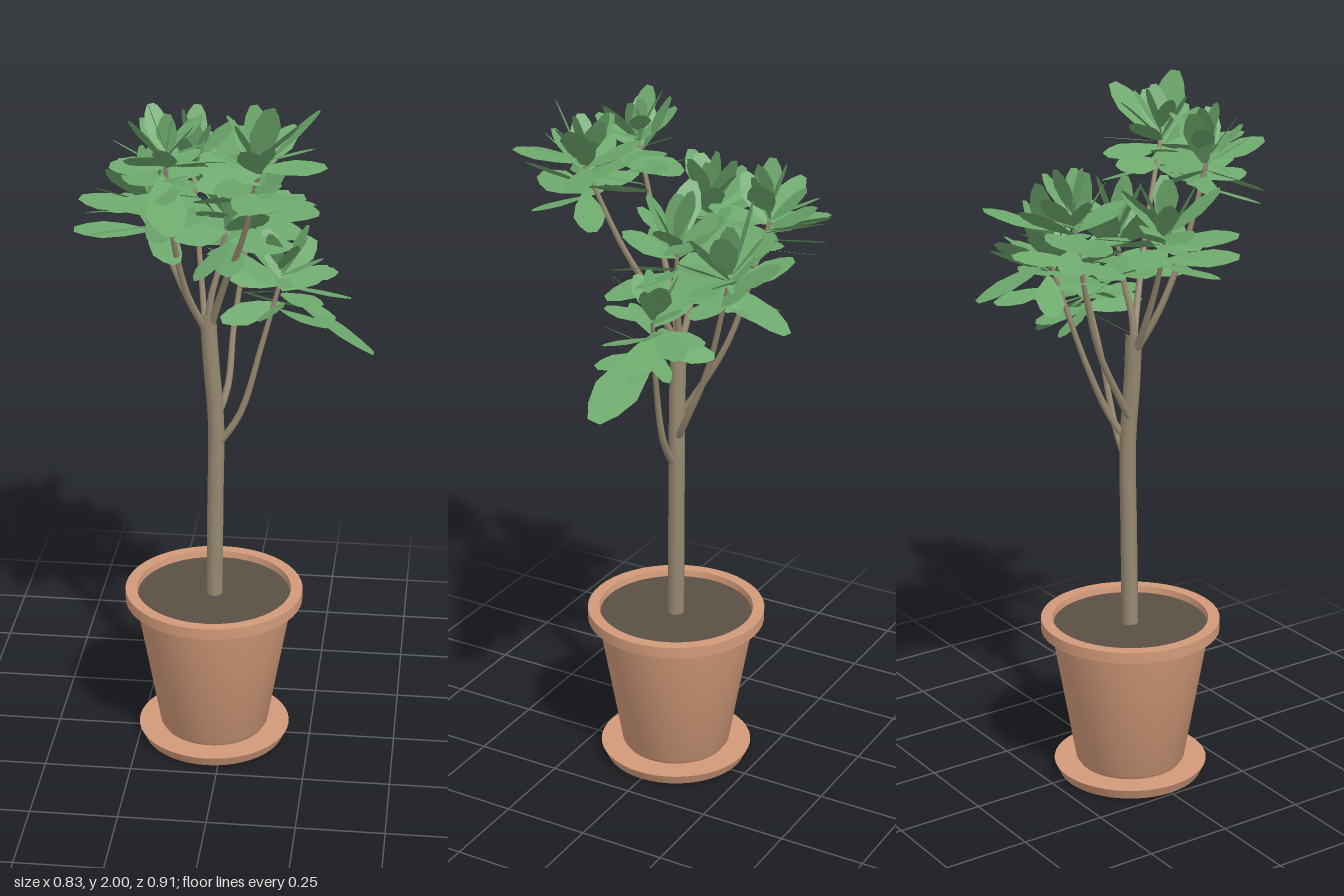
import * as THREE from 'three';
import { mergeGeometries, toCreasedNormals } from 'three/addons/utils/BufferGeometryUtils.js';

const V = (x, y, z) => new THREE.Vector3(x, y, z);

function makeMaterial(name, color) {
  const m = new THREE.MeshStandardMaterial({ color });
  m.name = name;
  return m;
}

// small seeded generator, returns -1..1
function makeRandom(seed) {
  let s = seed;
  return () => {
    s = (s * 16807) % 2147483647;
    return (s / 2147483647) * 2 - 1;
  };
}

function turned(points, segments = 48) {
  const profile = points.map(([r, y]) => new THREE.Vector2(r, y));
  return toCreasedNormals(new THREE.LatheGeometry(profile, segments), 0.5);
}

// tube along a path, narrowing from r0 to r1
function taperedTube(points, r0, r1, segments, sides) {
  const curve = new THREE.CatmullRomCurve3(points);
  const geo = new THREE.TubeGeometry(curve, segments, 1, sides);
  const pos = geo.attributes.position;
  const v = V(0, 0, 0);
  for (let i = 0; i <= segments; i++) {
    const c = curve.getPointAt(i / segments);
    const r = THREE.MathUtils.lerp(r0, r1, i / segments);
    for (let j = 0; j <= sides; j++) {
      const k = i * (sides + 1) + j;
      v.fromBufferAttribute(pos, k).sub(c).multiplyScalar(r).add(c);
      pos.setXYZ(k, v.x, v.y, v.z);
    }
  }
  return geo;
}

// flat angular leaf of unit length along y, broadest past the middle
function leafBlade() {
  const half = [[0.04, 0], [0.18, 0.33], [0.235, 0.62], [0.17, 0.84], [0.07, 1]];
  const outline = [...half, ...half.map(([x, y]) => [-x, y]).reverse()];
  return new THREE.ShapeGeometry(new THREE.Shape(outline.map(([x, y]) => new THREE.Vector2(x, y))));
}

// place a leaf by its base, heading (0 = front), elevation, length and roll
function placeLeaf(blade, base, heading, elevation, length, roll) {
  const ce = Math.cos(elevation), se = Math.sin(elevation);
  const sh = Math.sin(heading), ch = Math.cos(heading);
  const along = V(ce * sh, se, ce * ch);
  const normal = V(-se * sh, ce, -se * ch).applyAxisAngle(along, roll);
  const across = V(0, 0, 0).crossVectors(along, normal);
  const m = new THREE.Matrix4().makeBasis(across, along, normal);
  m.scale(V(length, length, length)).setPosition(base);
  return blade.clone().applyMatrix4(m);
}

export function createModel() {
  const model = new THREE.Group();
  model.name = 'pottedTree';
  const clay = makeMaterial('terracotta', 0xd29a79);
  const earth = makeMaterial('soil', 0x5a4f45);
  const bark = makeMaterial('bark', 0x968970);
  const green = makeMaterial('leafGreen', 0x6da86c);
  green.side = THREE.DoubleSide;

  const add = (name, geo, mat, parent = model) => {
    const mesh = new THREE.Mesh(geo, mat);
    mesh.name = name;
    parent.add(mesh);
    return mesh;
  };

  // pot, saucer and soil share one axis
  const planter = new THREE.Group();
  planter.name = 'planter';
  planter.position.x = -0.034;
  model.add(planter);
  add('saucer', turned([[0, 0], [0.207, 0], [0.222, 0.032], [0, 0.032]]), clay, planter);
  add('pot', turned([[0.148, 0.03], [0.158, 0.045], [0.228, 0.445], [0.257, 0.445],
    [0.257, 0.478], [0.224, 0.478], [0.215, 0.42]]), clay, planter);
  const soil = add('soil', new THREE.CircleGeometry(0.221, 48).rotateX(-Math.PI / 2), earth, planter);
  soil.position.y = 0.459;

  // trunk
  add('trunk', taperedTube([V(-0.033, 0.43, 0), V(-0.03, 0.75, -0.003), V(-0.028, 1, -0.005),
    V(-0.042, 1.2, 0), V(-0.05, 1.33, 0)], 0.024, 0.023, 20, 10), bark);

  // each branch carries one leaf cluster at its end
  const branches = [
    { path: [V(-0.05, 1.27, 0), V(-0.1, 1.4, 0.05), V(-0.13, 1.6, 0.12), V(-0.14, 1.82, 0.18)], reach: 0.16 },
    { path: [V(-0.045, 1.28, 0), V(0, 1.43, 0.05), V(0.06, 1.6, 0.12), V(0.11, 1.82, 0.2)], reach: 0.17 },
    { path: [V(-0.05, 1.27, 0), V(-0.1, 1.36, 0), V(-0.16, 1.5, 0), V(-0.21, 1.63, -0.01)], reach: 0.19 },
    { path: [V(-0.03, 1, 0), V(0, 1.09, -0.05), V(0.01, 1.25, -0.12), V(0.05, 1.55, -0.21)], reach: 0.18 },
    { path: [V(-0.04, 1.07, 0), V(-0.055, 1.15, -0.05), V(-0.08, 1.32, -0.14), V(-0.12, 1.67, -0.24)], reach: 0.17 },
    { path: [V(-0.03, 0.92, 0), V(0.04, 1.03, 0), V(0.1, 1.24, -0.01), V(0.15, 1.43, -0.03)], reach: 0.16 },
    { path: [V(-0.05, 1.3, 0), V(-0.04, 1.38, 0), V(-0.02, 1.46, -0.01), V(0, 1.58, -0.02)], reach: 0.2 },
  ];

  // whorls stacked up the stem, from drooping outer leaves to upright inner ones
  const whorls = [
    { count: 5, elevation: -0.12, size: 1, rise: -0.07 },
    { count: 5, elevation: 0.12, size: 1, rise: -0.03 },
    { count: 5, elevation: 0.45, size: 0.95, rise: 0 },
    { count: 4, elevation: 0.85, size: 0.85, rise: 0.01 },
    { count: 3, elevation: 1.2, size: 0.8, rise: 0.02 },
  ];
  const blade = leafBlade();
  branches.forEach(({ path, reach }, b) => {
    const rnd = makeRandom(1013 + b * 7919);
    for (let i = 0; i < 5; i++) rnd();
    add(`branch${b + 1}`, taperedTube(path, 0.011, 0.006, 16, 7), bark);
    const tip = path[path.length - 1];
    const leaves = [];
    whorls.forEach(({ count, elevation, size, rise }, w) => {
      for (let i = 0; i < count; i++) {
        const heading = ((i + 0.25 * rnd()) / count) * Math.PI * 2 + w * 0.7 + b;
        const base = V(tip.x, tip.y + rise + 0.025 * rnd(), tip.z);
        leaves.push(placeLeaf(blade, base, heading, elevation + 0.3 * rnd(),
          reach * (size + 0.1 * rnd()), 0.55 * rnd()));
      }
    });
    add(`leafCluster${b + 1}`, mergeGeometries(leaves), green);
  });

  // long outlying leaves, each from base to tip
  const outliers = [
    [V(0.17, 1.38, -0.04), V(0.41, 1.23, 0)],
    [V(0.16, 1.38, -0.05), V(0.3, 1.31, -0.05)],
    [V(0.16, 1.42, -0.06), V(0.29, 1.4, -0.19)],
    [V(0.16, 1.4, -0.05), V(0.34, 1.36, -0.08)],
    [V(0.04, 1.8, 0.24), V(0.07, 1.82, 0.45)],
    [V(0.11, 1.82, 0.2), V(0.14, 2, 0.27)],
    [V(0.11, 1.82, 0.2), V(0.26, 1.96, 0.14)],
    [V(-0.15, 1.78, 0.18), V(-0.1, 1.69, 0.39)],
    [V(-0.14, 1.8, 0.17), V(-0.18, 1.95, 0.1)],
    [V(-0.05, 1.66, -0.26), V(-0.01, 1.73, -0.45)],
    [V(0.06, 1.54, -0.21), V(0.1, 1.45, -0.41)],
    [V(0.05, 1.55, -0.21), V(0.24, 1.56, -0.2)],
    [V(0.04, 1.58, -0.22), V(0.02, 1.77, -0.26)],
    [V(-0.12, 1.66, -0.24), V(-0.28, 1.66, -0.34)],
    [V(-0.12, 1.66, -0.24), V(-0.12, 1.82, -0.2)],
    [V(-0.22, 1.62, -0.02), V(-0.41, 1.63, -0.07)],
  ];
  add('outerLeaves', mergeGeometries(outliers.map(([base, tip], i) => {
    const d = tip.clone().sub(base);
    return placeLeaf(blade, base, Math.atan2(d.x, d.z), Math.asin(d.y / d.length()), d.length(), (i % 3 - 1) * 0.2);
  })), green);

  return model;
}
